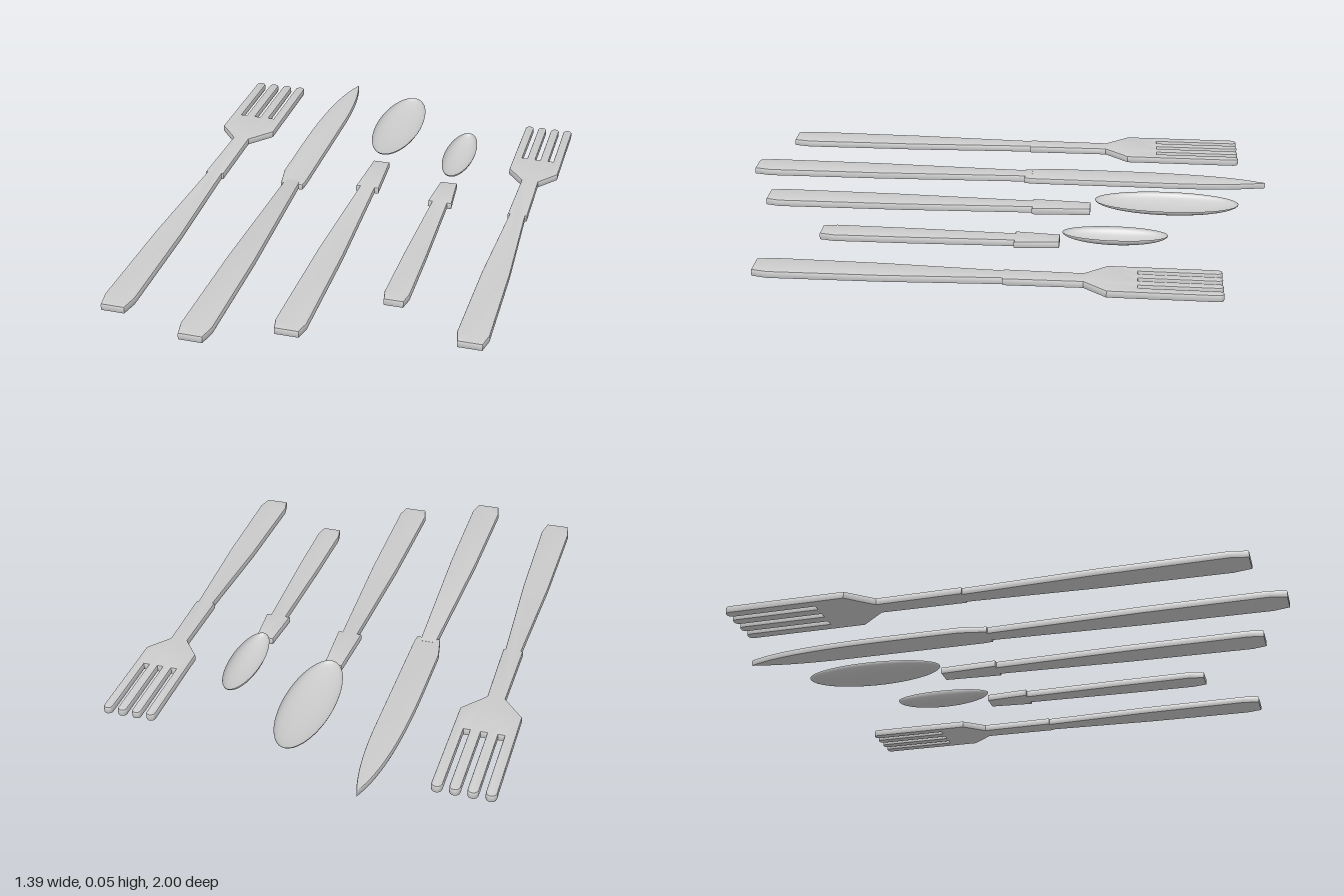
import * as THREE from 'three';
import { toCreasedNormals } from 'three/addons/utils/BufferGeometryUtils.js';

const THICK = 0.027, BEVEL = 0.005;
const metal = new THREE.MeshStandardMaterial({ color: 0xcccccc });
const shell = new THREE.MeshStandardMaterial({ color: 0xcccccc, side: THREE.DoubleSide });

// Lying plate with softened edges from a plan outline of [x, z] points
function plate(name, outline, thick = THICK) {
  const shape = new THREE.Shape(outline.map(([x, z]) => new THREE.Vector2(x, -z)));
  const geo = new THREE.ExtrudeGeometry(shape, {
    depth: thick - 2 * BEVEL, bevelEnabled: true, bevelThickness: BEVEL,
    bevelSize: BEVEL, bevelOffset: -BEVEL, bevelSegments: 2,
  });
  geo.rotateX(-Math.PI / 2).translate(0, BEVEL, 0);
  const mesh = new THREE.Mesh(toCreasedNormals(geo, 0.6), metal);
  mesh.name = name;
  return mesh;
}

// Right half of a symmetric outline, mirrored into a closed loop
const mirrored = (half) => [...half, ...half.map(([x, z]) => [-x, z]).reverse()];

function piece(name, x, ...parts) {
  const group = new THREE.Group();
  group.name = name;
  group.position.x = x;
  group.add(...parts);
  return group;
}

// Four tines with round tips, tapering shoulders, stepped neck and handle
function fork(name, x, s) {
  const half = 0.107 * s, r = 0.0185 * s, pitch = (2 * half - 2 * r) / 3;
  const tip = -0.909 * s, root = -0.585 * s;
  const right = [[0.042, 0.903 * s], [0.054, 0.84 * s], [0.048, 0.4 * s], [0.029, -0.07 * s],
    [0.036, -0.07 * s], [0.032, -0.378 * s], [half, -0.468 * s]];
  for (const cx of [1.5 * pitch, 0.5 * pitch]) {
    if (cx < pitch) right.push([cx + r, root]);
    for (let i = 0; i <= 8; i++) {
      const a = (i / 8) * Math.PI;
      right.push([cx + r * Math.cos(a), tip + r - r * Math.sin(a)]);
    }
    right.push([cx - r, root]);
  }
  return piece(name, x, plate('forkBody', mirrored(right)));
}

// Open half-ellipsoid bowl in front of a stepped handle
function spoon(name, x, bowl, handle) {
  const geo = new THREE.SphereGeometry(1, 48, 16, 0, Math.PI * 2, Math.PI / 2, Math.PI / 2);
  geo.scale(bowl.halfWidth, bowl.depth, bowl.halfLength);
  const mesh = new THREE.Mesh(geo, shell);
  mesh.name = 'bowl';
  mesh.position.set(0, 0.053, bowl.z);
  return piece(name, x, mesh, plate('handle', mirrored(handle)));
}

function knife(name, x) {
  // Blade: curved cutting edge on the left, straighter back on the right
  const blade = new THREE.Shape();
  blade.moveTo(-0.04, 0.07);
  blade.lineTo(0.046, 0.07);
  blade.lineTo(0.05, 0.11);
  blade.lineTo(0.05, 0.64);
  blade.quadraticCurveTo(0.05, 0.87, 0.013, 1.0);
  blade.bezierCurveTo(-0.035, 0.9, -0.058, 0.7, -0.058, 0.4);
  blade.lineTo(-0.058, 0.17);
  const outline = blade.getPoints(14).map((p) => [p.x, -p.y]);
  const handle = mirrored([[0.042, 0.995], [0.055, 0.935], [0.05, 0.5], [0.029, -0.1]]);
  const bladeMesh = plate('blade', outline, 0.024);
  bladeMesh.position.y = 0.001;
  return piece(name, x, bladeMesh, plate('handle', handle));
}

export function createModel() {
  const model = new THREE.Group();
  model.name = 'cutlerySet';
  model.add(
    fork('dinnerFork', -0.591, 1),
    knife('dinnerKnife', -0.28),
    spoon('tableSpoon', 0.01,
      { halfWidth: 0.091, depth: 0.036, halfLength: 0.264, z: -0.616 },
      [[0.042, 0.882], [0.054, 0.83], [0.048, 0.38], [0.029, -0.12], [0.044, -0.12], [0.032, -0.336]]),
    spoon('teaSpoon', 0.302,
      { halfWidth: 0.059, depth: 0.036, halfLength: 0.186, z: -0.432 },
      [[0.034, 0.62], [0.044, 0.57], [0.04, 0.3], [0.029, -0.077], [0.045, -0.077], [0.032, -0.237]]),
    fork('saladFork', 0.599, 0.88),
  );
  return model;
}
